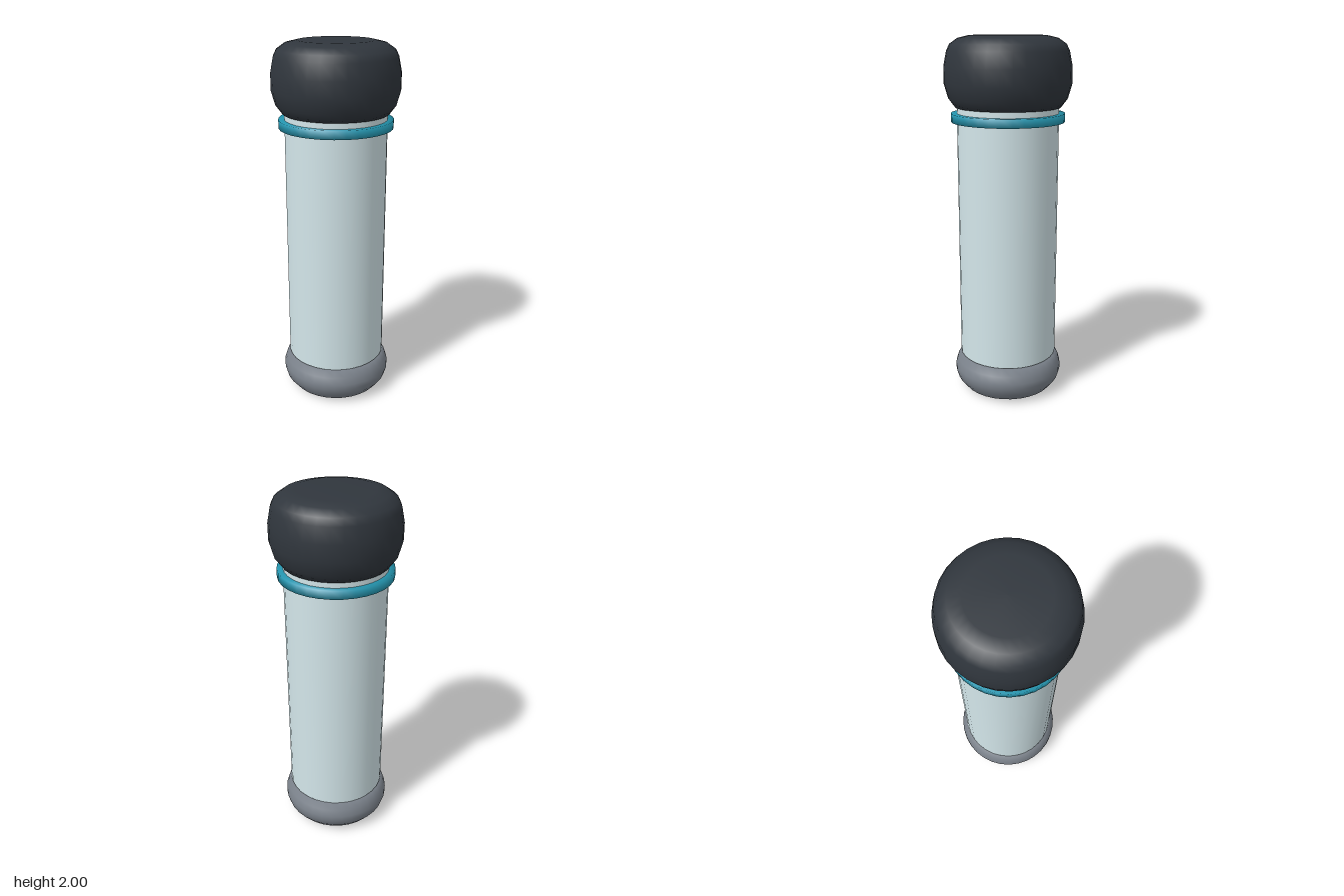
import * as THREE from 'three';

const SEGMENTS = 32;

// Solid of revolution from [radius, height] pairs, listed bottom to top
function turned(name, profile, color) {
  const points = profile.map(([r, y]) => new THREE.Vector2(r, y));
  const mesh = new THREE.Mesh(
    new THREE.LatheGeometry(points, SEGMENTS),
    new THREE.MeshStandardMaterial({ color })
  );
  mesh.name = name;
  return mesh;
}

export function createModel() {
  const model = new THREE.Group();
  model.name = 'bottle';

  // Rounded foot
  model.add(turned('base', [
    [0, 0], [0.2, 0], [0.26, 0.016], [0.295, 0.06], [0.307, 0.1],
    [0.307, 0.13], [0.295, 0.17], [0.265, 0.214], [0, 0.214],
  ], 0x7b828b));

  // Straight pale tube, running into the lid
  const body = new THREE.Mesh(
    new THREE.CylinderGeometry(0.275, 0.275, 1.44, SEGMENTS),
    new THREE.MeshStandardMaterial({ color: 0xd3e6ea })
  );
  body.name = 'body';
  body.position.y = 0.215 + 0.72;
  model.add(body);

  // Coloured band standing proud of the tube
  model.add(turned('band', [
    [0.27, 1.55], [0.307, 1.55], [0.307, 1.596], [0.27, 1.596],
  ], 0x2596b0));

  // Bulging lid with a flat top
  model.add(turned('lid', [
    [0, 1.628], [0.285, 1.628], [0.32, 1.675], [0.341, 1.75], [0.341, 1.84],
    [0.325, 1.92], [0.308, 1.955], [0.265, 1.985], [0.2, 2], [0, 2],
  ], 0x30363d));

  return model;
}
